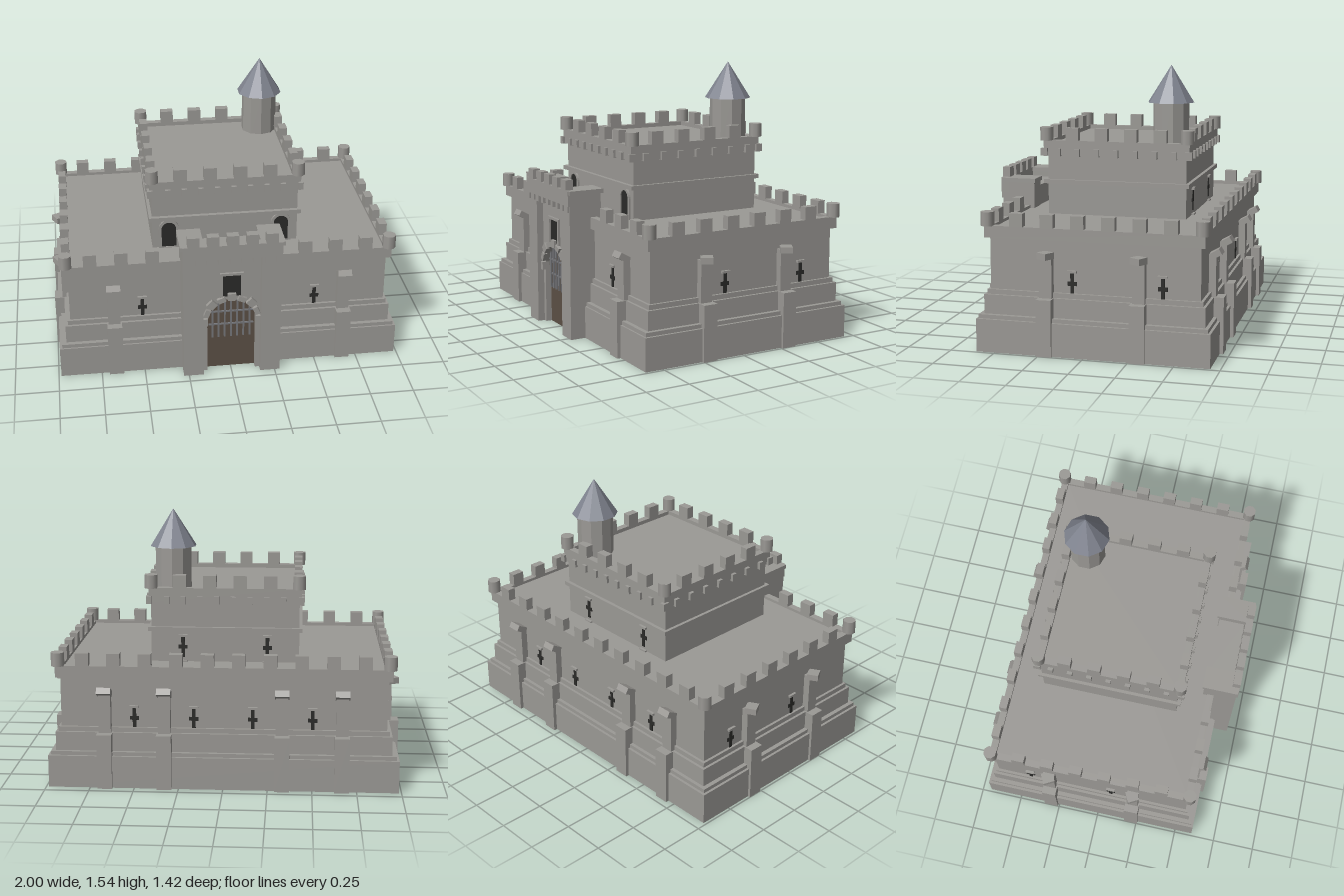
import * as THREE from 'three';

const mat = (name, color) => {
  const m = new THREE.MeshStandardMaterial({ color });
  m.name = name;
  return m;
};

export function createModel() {
  const stone = mat('stone', 0x9b9995);
  const slate = mat('slate', 0x7f838e);
  const wood = mat('wood', 0x5c5045);
  const dark = mat('darkOpening', 0x2b2b29);
  const iron = mat('iron', 0x77787c);
  const root = new THREE.Group();
  root.name = 'castle';

  const add = (name, geo, m, parent = root) => {
    const mesh = new THREE.Mesh(geo, m);
    mesh.name = name;
    parent.add(mesh);
    return mesh;
  };
  // box from its limits
  const box = (name, x0, x1, y0, y1, z0, z1, m = stone, parent = root) => {
    const mesh = add(name, new THREE.BoxGeometry(x1 - x0, y1 - y0, z1 - z0), m, parent);
    mesh.position.set((x0 + x1) / 2, (y0 + y1) / 2, (z0 + z1) / 2);
    return mesh;
  };
  const group = (name) => {
    const g = new THREE.Group();
    g.name = name;
    root.add(g);
    return g;
  };
  const row = (n, pitch) => Array.from({ length: n }, (_, i) => (i - (n - 1) / 2) * pitch);

  // hollow parapet with merlons and eight-sided corner posts
  const battlement = (name, hx, z0, z1, y0, y1, top, nx, px, nz, pz, skip = 0) => {
    const g = group(name), t = 0.04, zc = (z0 + z1) / 2;
    for (const z of [z0, z1 - t]) box('parapetWall', -hx, hx, y0, y1, z, z + t, stone, g);
    for (const x of [-hx, hx - t]) box('parapetWall', x, x + t, y0, y1, z0 + t, z1 - t, stone, g);
    for (const x of row(nx, px)) for (const z of [z0, z1 - t]) {
      if (z > z0 && Math.abs(x) < skip) continue;
      box('merlon', x - 0.037, x + 0.037, y1, top, z - 0.003, z + t + 0.003, stone, g);
    }
    for (const z of row(nz, pz)) for (const x of [-hx, hx - t])
      box('merlon', x - 0.003, x + t + 0.003, y1, top, zc + z - 0.037, zc + z + 0.037, stone, g);
    for (const x of [-1, 1]) for (const z of [z0 + 0.015, z1 - 0.015]) {
      const post = add('cornerPost', new THREE.CylinderGeometry(0.038, 0.038, top - y1 + 0.005, 8), stone, g);
      post.rotation.y = Math.PI / 8;
      post.position.set(x * (hx - 0.015), (top + y1) / 2, z);
    }
  };

  // cross-shaped arrow slit, facing out along +z before turning
  const arrowSlit = (x, y, z, turn, parent = root) => {
    const g = new THREE.Group();
    g.name = 'arrowSlit';
    g.position.set(x, y, z);
    g.rotation.y = turn;
    parent.add(g);
    box('slit', -0.01, 0.01, -0.06, 0.06, -0.003, 0.005, dark, g);
    box('slitCross', -0.026, 0.026, -0.011, 0.011, -0.003, 0.004, dark, g);
    box('lintel', -0.026, 0.026, 0.06, 0.073, -0.01, 0.015, stone, g);
    box('sill', -0.026, 0.026, -0.09, -0.077, -0.01, 0.015, stone, g);
  };

  // main hall: stepped plinth, walls and overhanging top
  box('plinth', -0.985, 0.985, 0, 0.185, -0.695, 0.605);
  box('plinthLedge', -0.97, 0.97, 0.185, 0.207, -0.68, 0.595);
  box('lowerWall', -0.945, 0.945, 0.207, 0.315, -0.66, 0.57);
  box('stringCourse', -0.93, 0.93, 0.315, 0.342, -0.645, 0.555);
  box('upperWall', -0.915, 0.915, 0.342, 0.63, -0.63, 0.54);
  box('hallRoof', -0.91, 0.91, 0.63, 0.68, -0.62, 0.535);
  battlement('hallBattlement', 0.94, -0.655, 0.565, 0.63, 0.697, 0.77, 10, 0.175, 6, 0.171, 0.3);

  // buttresses on all sides
  const buttress = (x, z, turn, yawCap) => {
    const g = group('buttress');
    g.position.set(x, 0, z);
    g.rotation.y = turn;
    box('buttressFoot', -0.042, 0.042, 0, 0.315, -0.07, 0.085, stone, g);
    box('buttressShaft', -0.035, 0.035, 0.315, 0.55, -0.01, 0.04, stone, g);
    const cap = add('buttressCap', yawCap ? new THREE.BoxGeometry(0.068, 0.036, 0.065)
      : new THREE.BoxGeometry(0.08, 0.036, 0.068), stone, g);
    cap.position.set(0, 0.55, yawCap ? 0.038 : 0.034);
    if (yawCap) cap.rotation.y = yawCap * 0.5;
    else cap.rotation.x = -0.52;
  };
  for (const x of [-0.665, 0.665]) buttress(x, 0.54, 0, 0);
  for (const x of [-0.665, -0.33, 0.33, 0.665]) buttress(x, -0.63, Math.PI, 0);
  for (const s of [-1, 1]) for (const z of [0.215, -0.3]) buttress(s * 0.915, z, s * Math.PI / 2, -s);

  // arrow slits in the hall
  for (const x of [-0.5, 0.5]) arrowSlit(x, 0.395, 0.54, 0);
  for (const x of [-0.5, -0.165, 0.165, 0.5]) arrowSlit(x, 0.395, -0.63, Math.PI);
  for (const s of [-1, 1]) for (const z of [0.075, -0.425]) arrowSlit(s * 0.915, 0.395, z, s * Math.PI / 2);

  // keep
  box('keepLowerWall', -0.42, 0.42, 0.66, 0.858, -0.445, 0.365);
  box('keepLedge', -0.438, 0.438, 0.858, 0.882, -0.465, 0.388);
  box('keepUpperWall', -0.42, 0.42, 0.882, 1.03, -0.445, 0.365);
  box('keepRoof', -0.41, 0.41, 1.03, 1.085, -0.44, 0.36);
  battlement('keepBattlement', 0.432, -0.465, 0.388, 1.022, 1.108, 1.18, 4, 0.171, 4, 0.172);
  const corbels = group('keepCorbels');
  for (const x of [...row(8, 0.094), -0.43, 0.43]) for (const z of [-0.46, 0.383])
    box('corbel', x - 0.015, x + 0.015, 1.018, 1.062, z - 0.02, z + 0.02, stone, corbels);
  for (const z of row(7, 0.113)) for (const x of [-0.43, 0.43])
    box('corbel', x - 0.02, x + 0.02, 1.018, 1.062, z - 0.055, z - 0.025, stone, corbels);
  for (const x of [-0.24, 0.24]) arrowSlit(x, 0.765, -0.445, Math.PI);

  // arched keep windows with stone surrounds
  const arch = (w, y0, spring) => {
    const s = new THREE.Shape();
    s.moveTo(-w, y0);
    s.lineTo(w, y0);
    s.lineTo(w, spring);
    s.absarc(0, spring, w, 0, Math.PI, false);
    return s;
  };
  for (const x of [-0.325, 0.325]) {
    const frame = arch(0.058, 0.68, 0.8);
    frame.holes.push(arch(0.042, 0.685, 0.8));
    add('windowSurround', new THREE.ExtrudeGeometry(frame, { depth: 0.012, bevelEnabled: false, curveSegments: 8 }), stone)
      .position.set(x, 0, 0.364);
    add('keepWindow', new THREE.ShapeGeometry(arch(0.042, 0.68, 0.8), 8), dark).position.set(x, 0, 0.369);
  }

  // round turret with pointed roof
  add('turret', new THREE.CylinderGeometry(0.104, 0.104, 0.28, 10).toNonIndexed(), stone).position.set(0.3, 1.2, -0.33);
  add('turretRoof', new THREE.ConeGeometry(0.133, 0.21, 10).toNonIndexed(), slate).position.set(0.3, 1.435, -0.33);
  for (const n of ['turret', 'turretRoof']) root.getObjectByName(n).geometry.computeVertexNormals();

  // gatehouse: side piers, recessed centre wall with arched opening
  const gate = group('gatehouse');
  for (const s of [-1, 1]) {
    const a = s < 0 ? -0.28 : 0.165, c = s < 0 ? -0.295 : 0.16;
    box('pier', a, a + 0.115, 0, 0.835, 0.5, 0.695, stone, gate);
    box('pierCap', c, c + 0.135, 0.833, 0.857, 0.49, 0.7, stone, gate);
  }
  const wall = new THREE.Shape();
  wall.moveTo(-0.166, 0);
  wall.lineTo(-0.14, 0);
  wall.lineTo(-0.14, 0.34);
  wall.absarc(0, 0.34, 0.14, Math.PI, 0, true);
  wall.lineTo(0.14, 0);
  wall.lineTo(0.166, 0);
  wall.lineTo(0.166, 0.8);
  wall.lineTo(-0.166, 0.8);
  add('gateWall', new THREE.ExtrudeGeometry(wall, { depth: 0.15, bevelEnabled: false, curveSegments: 8 }), stone, gate)
    .position.z = 0.505;
  box('gateParapet', -0.28, 0.28, 0.77, 0.857, 0.66, 0.705, stone, gate);
  for (const x of row(5, 0.11)) box('gateMerlon', x - 0.033, x + 0.033, 0.857, 0.915, 0.66, 0.705, stone, gate);
  for (const x of row(9, 0.065)) box('gateCorbel', x - 0.015, x + 0.015, 0.735, 0.775, 0.65, 0.705, stone, gate);

  // door, portcullis and arch stones
  add('door', new THREE.ShapeGeometry(arch(0.14, 0, 0.34), 8), wood, gate).position.z = 0.62;
  for (const x of row(7, 0.036)) {
    const top = 0.34 + Math.sqrt(0.0196 - x * x);
    box('portcullisBar', x - 0.005, x + 0.005, 0.215, top, 0.628, 0.638, iron, gate);
  }
  for (const y of [0.3, 0.385]) box('portcullisRail', -0.13, 0.13, y - 0.004, y + 0.004, 0.627, 0.636, iron, gate);
  for (let i = 0; i < 9; i++) {
    const a = Math.PI * i / 8, len = i % 2 ? 0.03 : 0.045;
    const stoneBlock = add('archStone', new THREE.BoxGeometry(len, 0.047, 0.04), stone, gate);
    stoneBlock.position.set(Math.cos(a) * (0.138 + len / 2), 0.34 + Math.sin(a) * (0.138 + len / 2), 0.655);
    stoneBlock.rotation.z = a;
  }

  // gate window with frame
  box('gateWindow', -0.052, 0.052, 0.5, 0.64, 0.65, 0.657, dark, gate);
  for (const s of [-1, 1]) box('gateWindowJamb', s * 0.06 - 0.008, s * 0.06 + 0.008, 0.5, 0.64, 0.65, 0.668, stone, gate);
  box('gateWindowLintel', -0.068, 0.068, 0.64, 0.655, 0.65, 0.668, stone, gate);

  return root;
}
